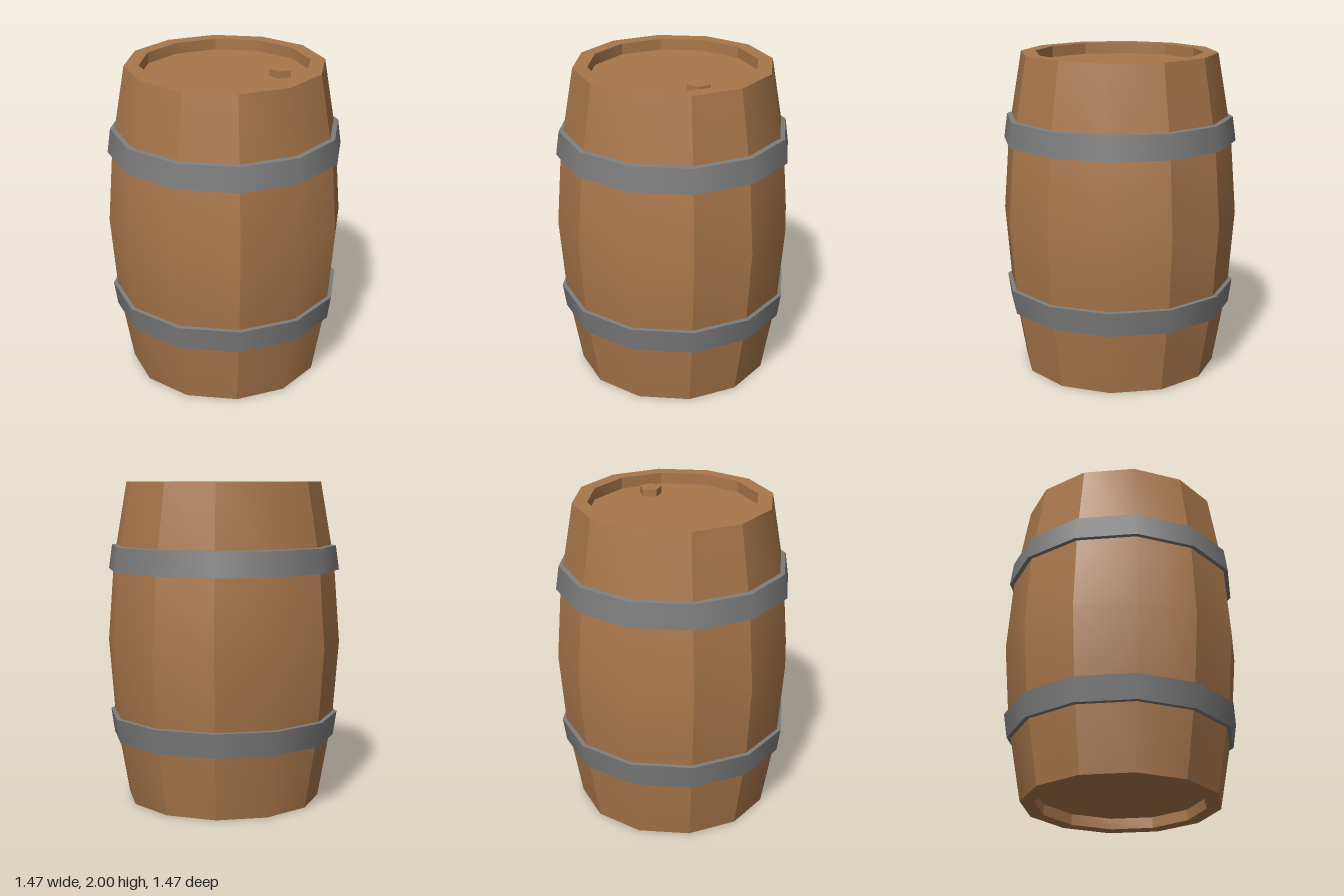
import * as THREE from 'three';
import { mergeGeometries } from 'three/addons/utils/BufferGeometryUtils.js';

const SIDES = 12;
const STEP = (Math.PI * 2) / SIDES;
const toPoints = (profile) => profile.map(([r, y]) => new THREE.Vector2(r, y));

// Twelve-sided wall made of panels: a soft pair of facets on each axis, a flat facet between them
function panelled(profile) {
  const panels = [];
  for (let i = 0; i < 4; i++) {
    const axis = (i * Math.PI) / 2;
    for (const [start, count] of [[axis - STEP, 2], [axis + STEP, 1]]) {
      const panel = new THREE.LatheGeometry(toPoints(profile), count, start, STEP * count);
      panel.computeVertexNormals();
      panels.push(panel);
    }
  }
  return mergeGeometries(panels);
}

// Lathe with every profile segment separate, so edges along the profile stay sharp
function turned(profile) {
  const rings = [];
  for (let i = 0; i < profile.length - 1; i++) {
    rings.push(new THREE.LatheGeometry(toPoints([profile[i], profile[i + 1]]), SIDES));
  }
  return mergeGeometries(rings);
}

export function createModel() {
  const wood = new THREE.MeshStandardMaterial({ color: 0xa9774b });
  wood.name = 'wood';
  const metal = new THREE.MeshStandardMaterial({ color: 0x7c7c7c });
  metal.name = 'metal';

  const group = new THREE.Group();
  group.name = 'barrel';
  const add = (name, geometry, material) => {
    const mesh = new THREE.Mesh(geometry, material);
    mesh.name = name;
    group.add(mesh);
    return mesh;
  };

  // Bulging staves
  add('staves', panelled([[0.61, 0], [0.697, 0.5], [0.735, 1], [0.697, 1.5], [0.61, 2]]), wood);

  // Rims, recess walls and heads at both ends
  const rim = 0.61, inner = 0.52, depth = 0.07;
  add('topRim', turned([[rim, 2], [inner, 2]]), wood);
  add('topRecess', panelled([[inner, 2], [inner, 2 - depth]]), wood);
  add('topHead', turned([[inner, 2 - depth], [0, 2 - depth]]), wood);
  add('bottomHead', turned([[0, depth], [inner, depth]]), wood);
  add('bottomRecess', panelled([[inner, depth], [inner, 0]]), wood);
  add('bottomRim', turned([[inner, 0], [rim, 0]]), wood);

  // Five-sided bung, pointing to the back
  const bungGeometry = new THREE.CylinderGeometry(0.072, 0.072, 0.045, 5, 1, false, Math.PI).toNonIndexed();
  bungGeometry.computeVertexNormals();
  add('bung', bungGeometry, wood).position.set(0.23, 2 - depth + 0.0225, -0.243);

  // Tapered hoops, wider towards the middle of the barrel
  add('upperHoop', turned([[0.67, 1.453], [0.728, 1.456], [0.707, 1.606], [0.67, 1.612]]), metal);
  add('lowerHoop', turned([[0.66, 0.394], [0.704, 0.399], [0.726, 0.55], [0.67, 0.557]]), metal);

  return group;
}
